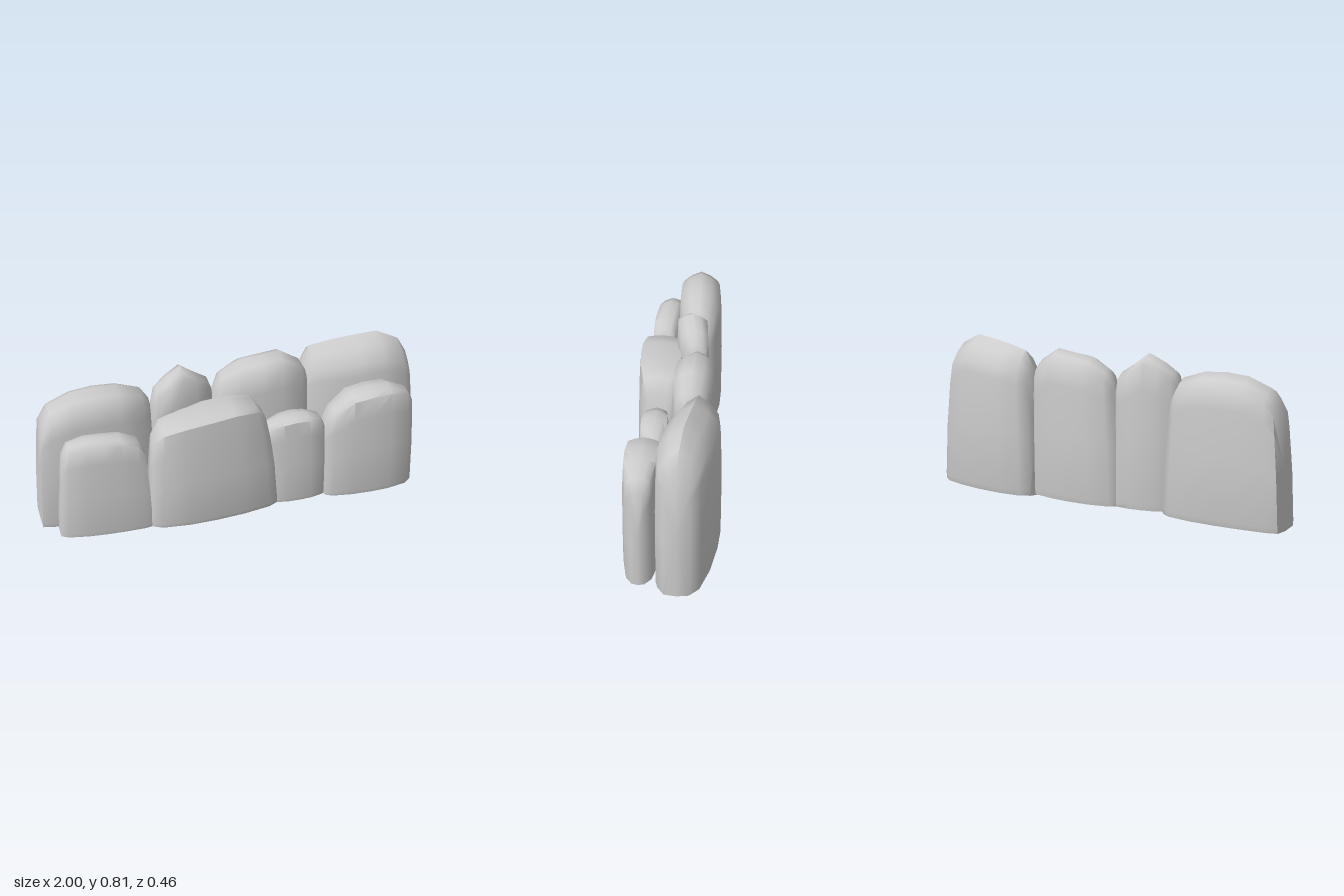
import * as THREE from 'three';
import { toCreasedNormals } from 'three/addons/utils/BufferGeometryUtils.js';

// base, crown: x range at the ground and at the top; tops: ridge heights along the slab;
// z: centre line from the right end to the left end; ends: share of the depth left at each end;
// edge: rim height as a share of the ridge height
const slabs = [
  { name: 'backSlabRight', base: [-1, -0.37], crown: [-0.955, -0.41], tops: [0.68, 0.725, 0.735, 0.728, 0.69], z: [-0.058, -0.075], depth: 0.238, ends: [0.75, 0.4], edge: 0.91 },
  { name: 'backSlabPointed', base: [-0.41, -0.08], crown: [-0.41, -0.085], tops: [0.71, 0.755, 0.79, 0.735, 0.69], z: [-0.02, -0.08], depth: 0.165, ends: [0.3, 0.3], edge: 0.95 },
  { name: 'backSlabMiddle', base: [-0.12, 0.42], crown: [-0.07, 0.41], tops: [0.7, 0.752, 0.763, 0.777, 0.715], z: [-0.085, -0.07], depth: 0.215, ends: [0.3, 0.4], edge: 0.93 },
  { name: 'backSlabLeft', base: [0.38, 1], crown: [0.405, 0.945], tops: [0.755, 0.78, 0.797, 0.81, 0.757], z: [-0.12, -0.045], depth: 0.28, ends: [0.5, 0.45], edge: 0.86 },
  { name: 'frontSlabRight', base: [-0.925, -0.465], crown: [-0.885, -0.49], tops: [0.54, 0.562, 0.562, 0.56, 0.53], z: [0.09, 0.122], depth: 0.145, ends: [0.5, 0.75], edge: 0.96 },
  { name: 'frontSlabWide', base: [-0.475, 0.205], crown: [-0.44, 0.13], tops: [0.57, 0.6, 0.613, 0.622, 0.61], z: [0.122, 0.093], depth: 0.235, ends: [0.45, 0.6], edge: 0.98 },
  { name: 'frontSlabSmall', base: [0.16, 0.47], crown: [0.13, 0.45], tops: [0.48, 0.503, 0.512, 0.507, 0.485], z: [0.108, 0.11], depth: 0.147, ends: [0.5, 0.45], edge: 0.96 },
  { name: 'frontSlabLeft', base: [0.455, 0.935], crown: [0.45, 0.91], tops: [0.52, 0.6, 0.618, 0.622, 0.585], z: [0.127, 0.138], depth: 0.18, ends: [0.55, 0.35], edge: 0.96 },
];

// Cross-section as [share of half depth, share of height], up the front and down the back
function crossSection(edge) {
  const front = [[0.94, 0], [1, 0.04], [1, 0.45], [0.95, 0.78], [0.88, edge], [0.5, 0.42 * edge + 0.58]];
  const back = front.map(([s, t]) => [-s, t]).reverse();
  return [...front, [0, 1], ...back, [0, -0.012]];
}

function slabGeometry({ base, crown, tops, z, depth, ends, edge }) {
  const { lerp } = THREE.MathUtils;
  const profile = crossSection(edge);
  const n = profile.length;
  // Stations along the slab: both ends sit lower and narrower than the middle
  const heights = [tops[0] * 0.9, ...tops, tops[4] * 0.9];
  const along = [0, 0.08, 0.29, 0.5, 0.71, 0.92, 1];
  const halfDepth = (u) => {
    const end = ends[u < 0.5 ? 0 : 1];
    return depth / 2 * (end + (1 - end) * Math.sqrt(1 - (2 * u - 1) ** 2));
  };
  const positions = [], index = [];
  const addPoint = (i, s, t) => {
    const u = along[i];
    const x = lerp(lerp(base[0], base[1], u), lerp(crown[0], crown[1], u), Math.max(t, 0) ** 1.5);
    positions.push(x, lerp(0.01, heights[i], t), lerp(z[0], z[1], u) + s * halfDepth(u));
  };
  along.forEach((_, i) => profile.forEach(([s, t]) => addPoint(i, s, t)));
  const last = along.length - 1;
  for (let i = 0; i < last; i++) {
    for (let j = 0; j < n; j++) {
      const k = (j + 1) % n;
      const a = i * n + j, b = a + n, c = (i + 1) * n + k, d = i * n + k;
      index.push(a, b, c, a, c, d);
    }
  }
  // Close both ends with fans
  for (const i of [0, last]) {
    const centre = positions.length / 3;
    addPoint(i, 0, 0.5);
    for (let j = 0; j < n; j++) {
      const a = i * n + j, b = i * n + (j + 1) % n;
      index.push(centre, ...(i === 0 ? [a, b] : [b, a]));
    }
  }
  const geometry = new THREE.BufferGeometry();
  geometry.setAttribute('position', new THREE.Float32BufferAttribute(positions, 3));
  geometry.setIndex(index);
  return toCreasedNormals(geometry, 1.1);
}

export function createModel() {
  const group = new THREE.Group();
  group.name = 'stoneSlabs';
  const stone = new THREE.MeshStandardMaterial({ color: 0xcccccc });
  for (const slab of slabs) {
    const mesh = new THREE.Mesh(slabGeometry(slab), stone);
    mesh.name = slab.name;
    group.add(mesh);
  }
  return group;
}
